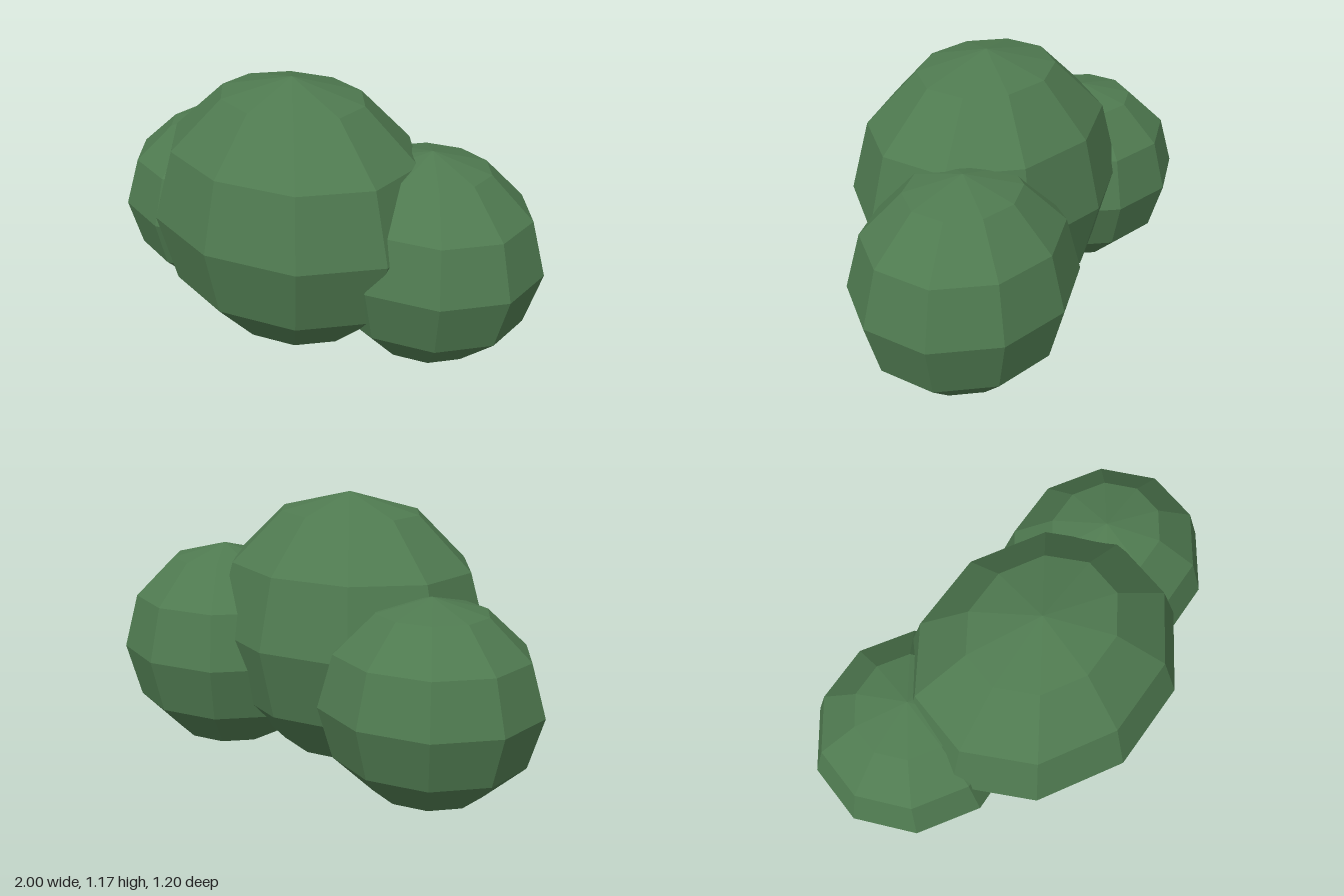
import * as THREE from 'three';

const leaves = new THREE.MeshStandardMaterial({ color: 0x4f7a50, flatShading: true });

// Faceted ellipsoid of foliage resting on the ground, with a corner facing front and back
function clump(name, x, z, rx, ry, rz) {
  const geometry = new THREE.SphereGeometry(1, 10, 6);
  geometry.rotateY(Math.PI / 2);
  geometry.scale(rx, ry, rz);
  const mesh = new THREE.Mesh(geometry, leaves);
  mesh.name = name;
  mesh.position.set(x, ry, z);
  return mesh;
}

export function createModel() {
  const bush = new THREE.Group();
  bush.name = 'bush';
  bush.add(
    clump('middleClump', 0, 0.065, 0.64, 0.585, 0.535),
    clump('leftClump', 0.535, -0.165, 0.489, 0.458, 0.437),
    clump('rightClump', -0.56, -0.09, 0.463, 0.42, 0.435),
  );
  return bush;
}
